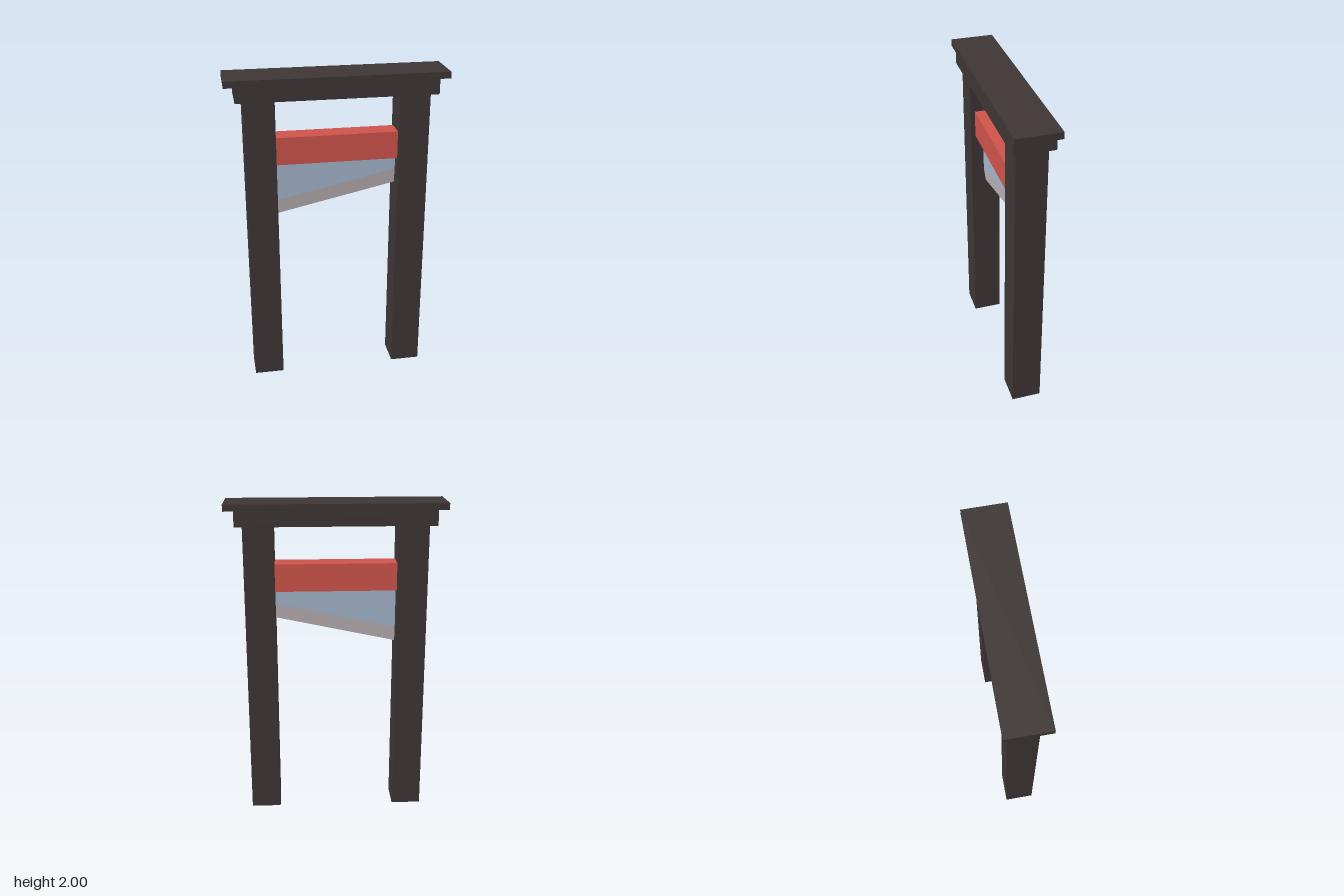
import * as THREE from 'three';

const material = (name, color) => {
  const m = new THREE.MeshStandardMaterial({ color });
  m.name = name;
  return m;
};

export function createModel() {
  const group = new THREE.Group();
  const darkWood = material('dark wood', 0x3d3635);
  const redPaint = material('red paint', 0xce544b);
  const steel = material('blue steel', 0xa4b5cc);
  const edgeSteel = material('sharpened steel', 0xc0b7bb);

  const add = (name, geometry, mat) => {
    const mesh = new THREE.Mesh(geometry, mat);
    mesh.name = name;
    group.add(mesh);
    return mesh;
  };

  // Box centred on z, spanning y0 to y1
  const block = (name, width, y0, y1, depth, mat, x = 0) => {
    const mesh = add(name, new THREE.BoxGeometry(width, y1 - y0, depth), mat);
    mesh.position.set(x, (y0 + y1) / 2, 0);
  };

  // Slab whose top and bottom slope along x and whose thickness tapers downwards
  const slab = (name, width, top, bottom, topDepth, bottomDepth, mat) => {
    const geometry = new THREE.BoxGeometry(width, 1, 1);
    const p = geometry.attributes.position;
    for (let i = 0; i < p.count; i++) {
      const upper = p.getY(i) > 0;
      const [left, right] = upper ? top : bottom;
      const t = p.getX(i) / width + 0.5;
      p.setY(i, left + (right - left) * t);
      p.setZ(i, p.getZ(i) * (upper ? topDepth : bottomDepth));
    }
    geometry.computeVertexNormals();
    add(name, geometry, mat);
  };

  // Frame
  block('leftPost', 0.185, 0, 1.865, 0.185, darkWood, 0.464);
  block('rightPost', 0.185, 0, 1.865, 0.185, darkWood, -0.464);
  block('lintel', 1.204, 1.865, 1.96, 0.24, darkWood);
  block('cap', 1.326, 1.96, 2, 0.265, darkWood);

  // Weight and slanted blade between the posts
  block('bladeWeight', 0.744, 1.46, 1.63, 0.13, redPaint);
  slab('blade', 0.744, [1.46, 1.46], [1.21, 1.372], 0.026, 0.026, steel);
  slab('cuttingEdge', 0.744, [1.21, 1.372], [1.118, 1.28], 0.026, 0.002, edgeSteel);

  return group;
}
